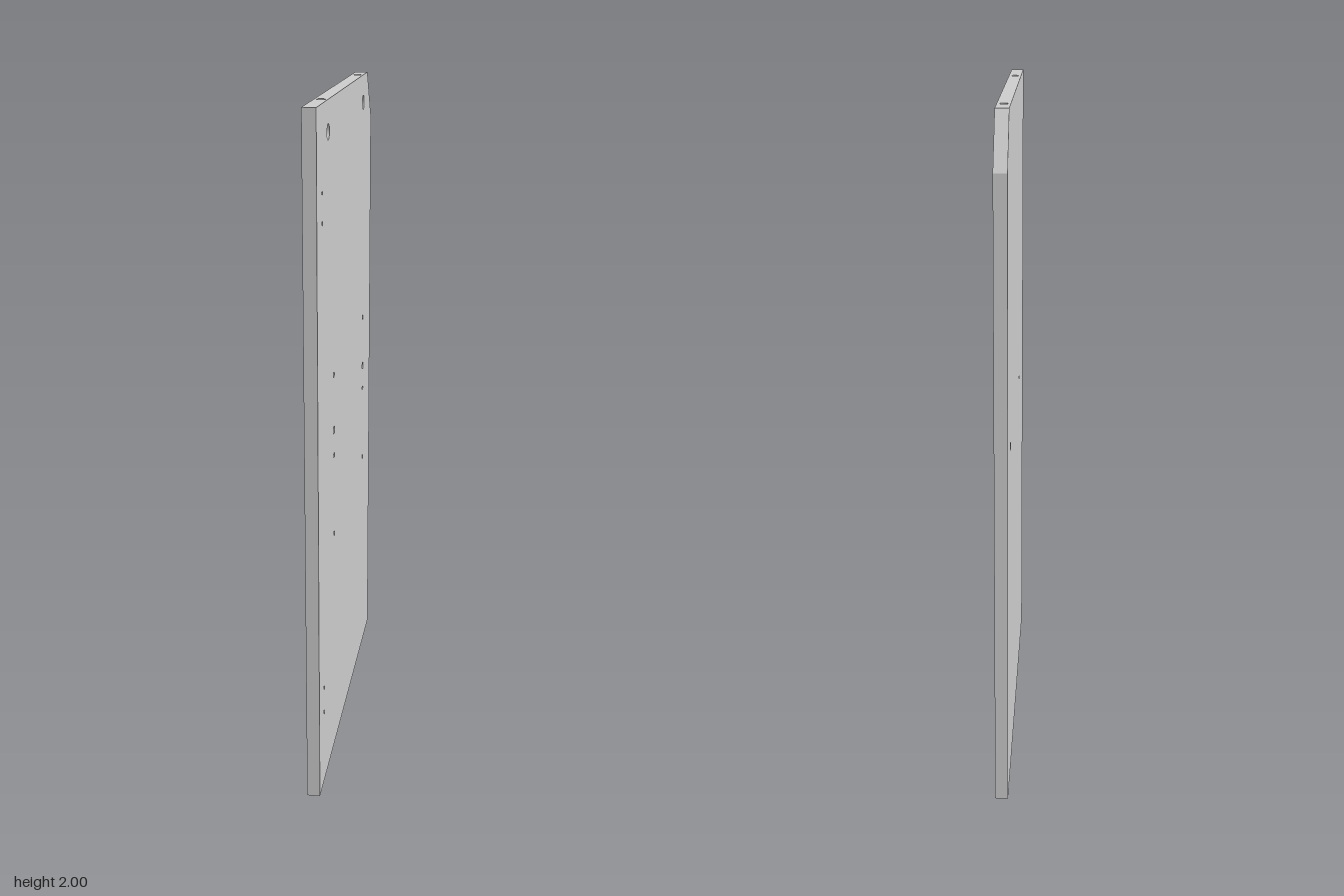
import * as THREE from 'three';

const T = 0.019;   // half thickness of the board
const W = 0.576;   // half depth of the board
const SEG = 24;

// Side profile: u = -z, v = y, counter-clockwise, with the cut rear top corner
const outline = [[-W, 0], [W, 0], [W, 1.85], [0.474, 2], [-W, 2]].map(p => new THREE.Vector2(...p));

// Holes in the +x face: u, v, radius, depth
const cams = [-0.373, 0.373].map(u => ({ u, v: 1.915, r: 0.022, depth: 0.029 }));
const through = [-0.277, 0.389].map(u => ({ u, v: 1.043, r: 0.012, depth: 2 * T }));
const pilots = [];
for (const u of [-0.277, 0.389]) for (const v of [0.715, 0.965, 1.212]) pilots.push({ u, v, r: 0.008, depth: 0.025 });
for (const v of [0.23, 0.31, 1.69, 1.77]) pilots.push({ u: -0.485, v, r: 0.006, depth: 0.025 });
const DOWEL_R = 0.012;

function holedShape(points, holes) {
  const shape = new THREE.Shape(points);
  for (const h of holes) shape.holes.push(new THREE.Path().absarc(h.u, h.v, h.r, 0, Math.PI * 2, true));
  return new THREE.ShapeGeometry(shape, SEG / 2);
}

export function createModel() {
  const group = new THREE.Group();
  group.name = 'cabinetSidePanel';
  const material = new THREE.MeshStandardMaterial({ color: 0xcccccc });
  const inner = new THREE.MeshStandardMaterial({ color: 0xcccccc, side: THREE.BackSide });
  const add = (name, geometry, mat = material) => {
    const mesh = new THREE.Mesh(geometry, mat);
    mesh.name = name;
    group.add(mesh);
    return mesh;
  };

  // Drilled inner face and plain outer face
  add('drilledFace', holedShape(outline, [...cams, ...through, ...pilots]).rotateY(Math.PI / 2).translate(T, 0, 0));
  const mirrored = outline.map(p => new THREE.Vector2(-p.x, p.y)).reverse();
  add('outerFace', holedShape(mirrored, through.map(h => ({ ...h, u: -h.u }))).rotateY(-Math.PI / 2).translate(-T, 0, 0));

  // Edge strips around the outline; the top one has the dowel holes
  const names = ['bottomEdge', 'rearEdge', 'cornerCut', 'topEdge', 'frontEdge'];
  outline.forEach((p, i) => {
    const q = outline[(i + 1) % outline.length];
    const d = q.clone().sub(p), len = d.length();
    d.normalize();
    const holes = names[i] === 'topEdge' ? cams.map(c => ({ u: 0, v: p.x - c.u, r: DOWEL_R })) : [];
    const rect = [[-T, 0], [T, 0], [T, len], [-T, len]].map(c => new THREE.Vector2(...c));
    const matrix = new THREE.Matrix4().makeBasis(
      new THREE.Vector3(-1, 0, 0), new THREE.Vector3(0, d.y, -d.x), new THREE.Vector3(0, -d.x, -d.y)
    ).setPosition(0, p.y, -p.x);
    add(names[i], holedShape(rect, holes).applyMatrix4(matrix));
  });

  // Bore walls, with a floor in the blind ones
  const bore = (name, h) => {
    const wall = new THREE.CylinderGeometry(h.r, h.r, h.depth, SEG, 1, true).rotateZ(Math.PI / 2);
    add(name + 'Wall', wall.translate(T - h.depth / 2, h.v, -h.u), inner);
    if (h.depth < 2 * T) {
      add(name + 'Floor', new THREE.CircleGeometry(h.r, SEG).rotateY(Math.PI / 2).translate(T - h.depth, h.v, -h.u));
    }
  };
  cams.forEach(h => bore('camHole', h));
  through.forEach(h => bore('throughHole', h));
  pilots.forEach(h => bore('pilotHole', h));

  // Dowel bores running from the top edge down to the cam holes
  for (const c of cams) {
    const low = c.v + Math.sqrt(c.r ** 2 - DOWEL_R ** 2);
    add('dowelHoleWall', new THREE.CylinderGeometry(DOWEL_R, DOWEL_R, 2 - low, SEG, 1, true)
      .translate(0, (2 + low) / 2, -c.u), inner);
  }
  return group;
}
